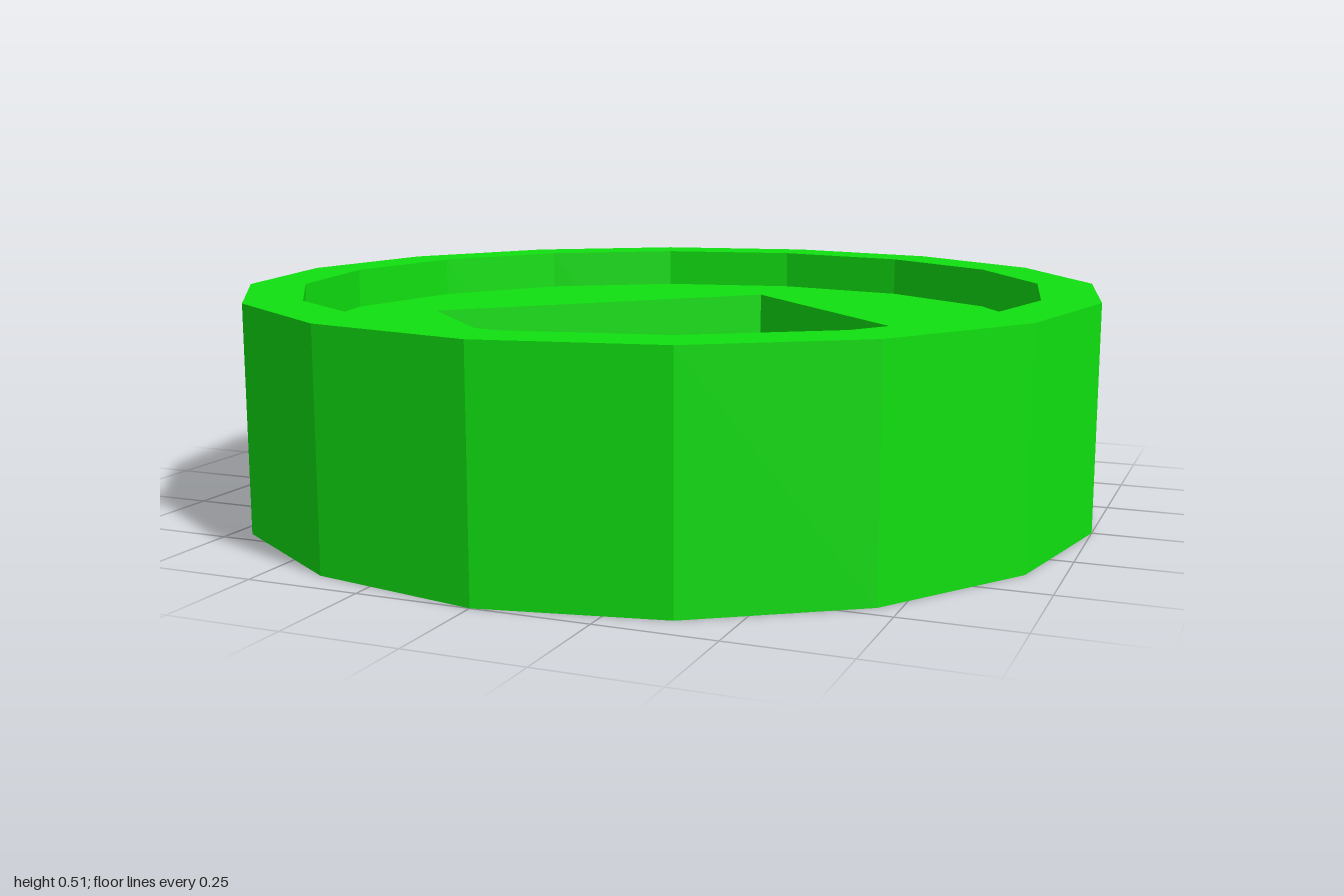
import * as THREE from 'three';

const HEIGHT = 0.51, RECESS = 0.095;

// Regular polygon with its first corner on +x
function polygon(radius, sides) {
  return Array.from({ length: sides }, (_, i) => {
    const a = (i / sides) * Math.PI * 2;
    return new THREE.Vector2(Math.cos(a) * radius, Math.sin(a) * radius);
  });
}

// Upright extrusion of a polygon with a polygonal hole, from y0 to y1
function holedPrism(outer, hole, y0, y1) {
  const shape = new THREE.Shape(outer);
  shape.holes.push(new THREE.Path(hole));
  const geometry = new THREE.ExtrudeGeometry(shape, { depth: y1 - y0, bevelEnabled: false });
  return geometry.rotateX(-Math.PI / 2).translate(0, y0, 0);
}

export function createModel() {
  const group = new THREE.Group();
  group.name = 'squareHoledDisc';
  const green = new THREE.MeshStandardMaterial({ color: 0x10e010, flatShading: true });
  green.name = 'green';

  const add = (name, geometry) => {
    const mesh = new THREE.Mesh(geometry, green);
    mesh.name = name;
    group.add(mesh);
  };

  // Sixteen-sided raised rim
  add('rim', holedPrism(polygon(1, 16), polygon(0.87, 16), 0, HEIGHT));
  // Plate recessed on both faces, pierced by a diamond-set square hole
  add('plate', holedPrism(polygon(0.87, 16), polygon(0.645, 4), RECESS, HEIGHT - RECESS));

  return group;
}
